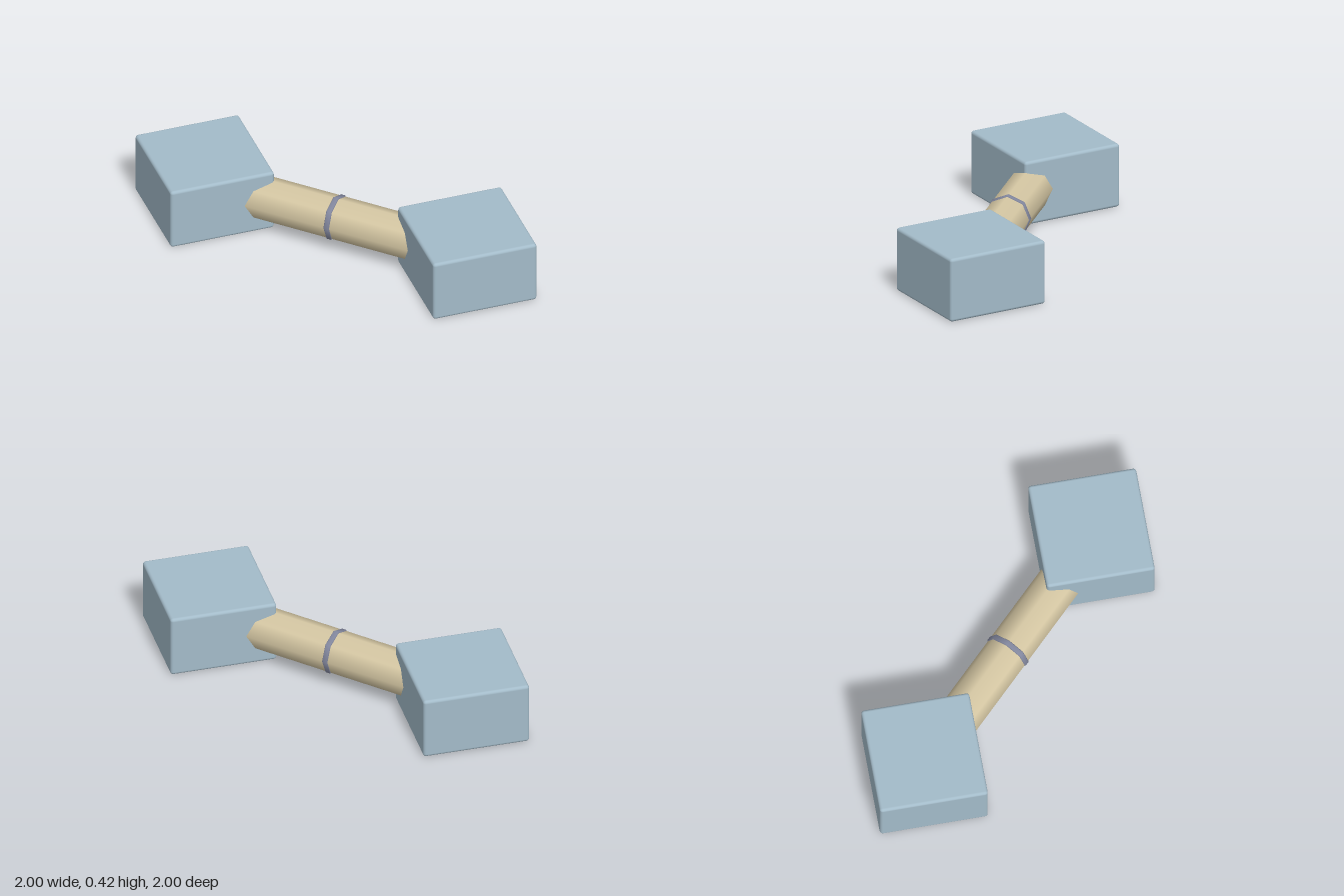
import * as THREE from 'three';
import { RoundedBoxGeometry } from 'three/addons/geometries/RoundedBoxGeometry.js';

const blockBlue = new THREE.MeshStandardMaterial({ name: 'paleBlue', color: 0xa3bbc9 });
const rodBeige = new THREE.MeshStandardMaterial({ name: 'sandBeige', color: 0xd6c8a4 });
const ringGrey = new THREE.MeshStandardMaterial({ name: 'slateGrey', color: 0x8489a0 });

const MID_Y = 0.212;

function addMesh(parent, name, geometry, material) {
  const mesh = new THREE.Mesh(geometry, material);
  mesh.name = name;
  parent.add(mesh);
  return mesh;
}

export function createModel() {
  const model = new THREE.Group();
  model.name = 'linkedBlocks';

  // Two softly bevelled blocks at opposite corners
  const blockGeometry = new RoundedBoxGeometry(0.695, 0.424, 0.695, 3, 0.02);
  for (const [name, side] of [['frontBlock', 1], ['backBlock', -1]]) {
    addMesh(model, name, blockGeometry, blockBlue)
      .position.set(side * 0.6525, MID_Y, side * 0.6525);
  }

  // Diagonal connector: its local z axis runs from block to block
  const connector = new THREE.Group();
  connector.name = 'connector';
  connector.position.y = MID_Y;
  connector.rotation.y = Math.PI / 4;
  model.add(connector);

  // Eight-sided rod with smooth shading, ends buried in the blocks
  const rodGeometry = new THREE.CylinderGeometry(0.142, 0.142, 1.7, 8).rotateX(Math.PI / 2);
  addMesh(connector, 'rod', rodGeometry, rodBeige);

  // Chamfered band round the middle
  const profile = [
    [0.13, -0.019], [0.144, -0.019], [0.149, -0.014],
    [0.149, 0.014], [0.144, 0.019], [0.13, 0.019],
  ].map(([r, y]) => new THREE.Vector2(r, y));
  const bandGeometry = new THREE.LatheGeometry(profile, 8).rotateX(Math.PI / 2);
  addMesh(connector, 'middleBand', bandGeometry, ringGrey);

  return model;
}
